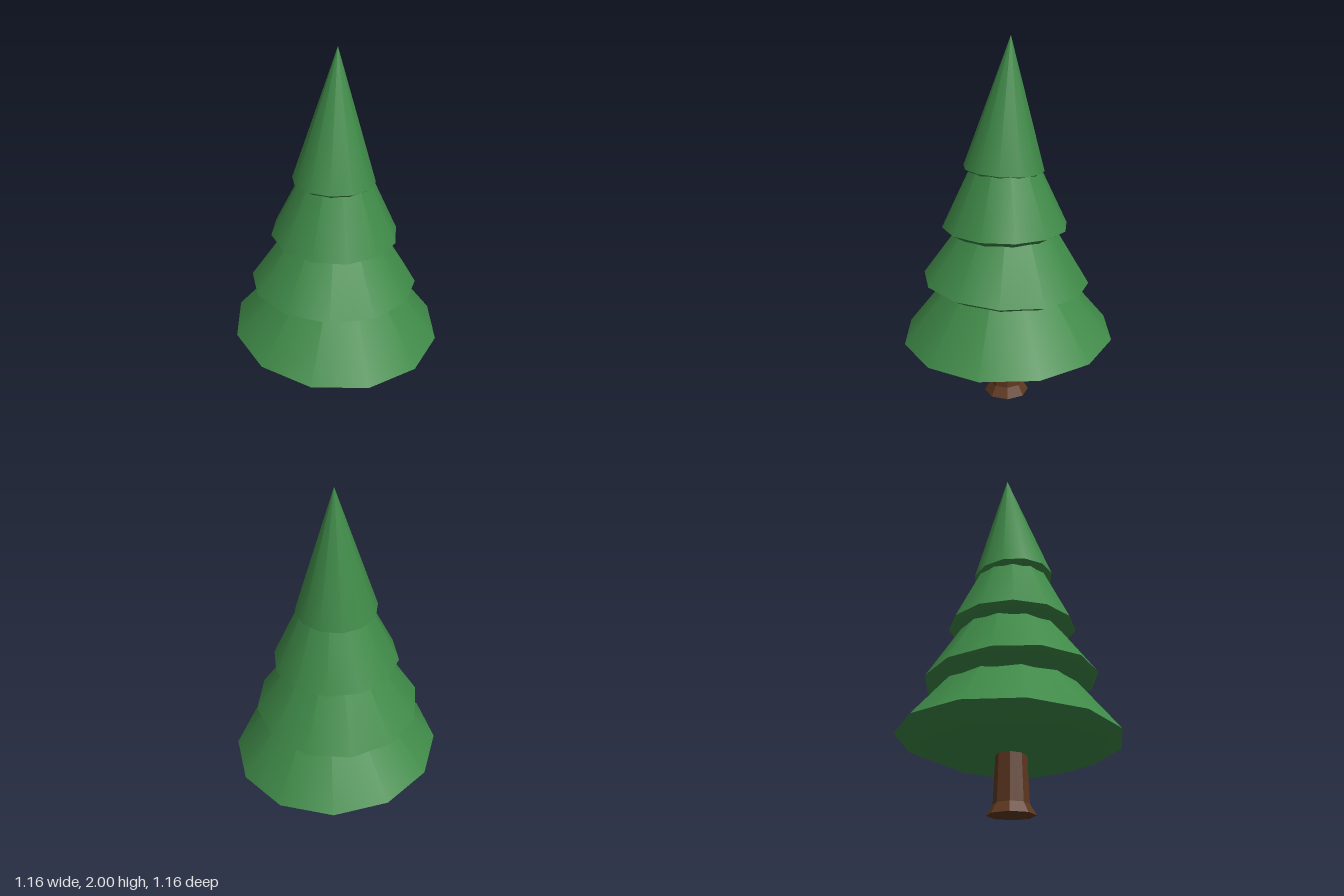
import * as THREE from 'three';
import { toCreasedNormals } from 'three/addons/utils/BufferGeometryUtils.js';

const rad = THREE.MathUtils.degToRad;

// Faceted solid of revolution from [radius, y] pairs, listed bottom to top
function lathe(profile, sides, turn) {
  const points = profile.map(([r, y]) => new THREE.Vector2(r, y));
  return new THREE.LatheGeometry(points, sides, rad(turn), Math.PI * 2);
}

// Foliage tiers: rim centre, rim radius, underside drop, cone height,
// turn in degrees, and rise of the rim per unit of x and z
const TIERS = [
  { name: 'bottomTier', at: [0, 0.376, 0], r: 0.587, drop: 0.08, h: 0.73, turn: 7, tilt: [-0.047, 0.03] },
  { name: 'lowerMiddleTier', at: [0, 0.688, 0.017], r: 0.46, drop: 0.08, h: 0.69, turn: 17.4, tilt: [0.016, 0.055] },
  { name: 'upperMiddleTier', at: [0.007, 0.994, 0.015], r: 0.345, drop: 0.065, h: 0.72, turn: 0, tilt: [-0.015, 0.022] },
  { name: 'topTier', at: [0.01, 1.308, 0.022], r: 0.22, drop: 0.045, h: 0.693, turn: 15, tilt: [0.023, 0.058] },
];

export function createModel() {
  const tree = new THREE.Group();
  tree.name = 'pineTree';
  const leaf = new THREE.MeshStandardMaterial({ color: 0x3f8a48 });
  const bark = new THREE.MeshStandardMaterial({ color: 0x5e3820, flatShading: true });

  // Slightly tilted cones with a bevelled underside
  for (const { name, at, r, drop, h, turn, tilt } of TIERS) {
    const profile = [[0, -drop], [r * 0.68, -drop], [r, 0], [0, h]];
    const tier = new THREE.Mesh(toCreasedNormals(lathe(profile, 12, turn), rad(40)), leaf);
    tier.name = name;
    tier.position.set(...at);
    tier.rotation.set(-tilt[1], 0, tilt[0]);
    tree.add(tier);
  }

  // Eight-sided trunk with a flared foot
  const trunk = new THREE.Mesh(
    lathe([[0, 0], [0.125, 0], [0.092, 0.055], [0.078, 0.36], [0, 0.36]], 8, 10),
    bark
  );
  trunk.name = 'trunk';
  trunk.position.set(0.004, 0, 0.008);
  tree.add(trunk);

  return tree;
}
